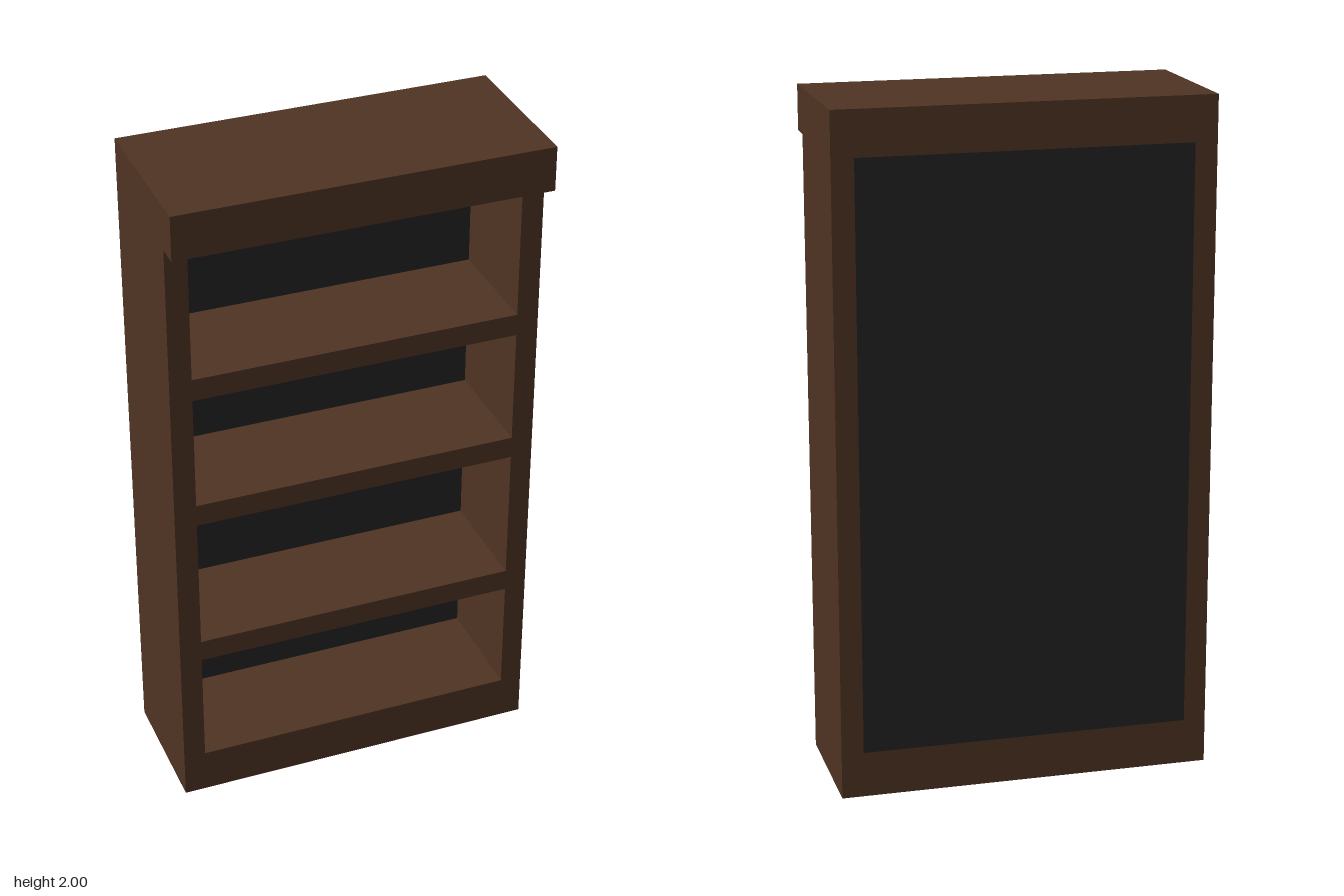
import * as THREE from 'three';

// Overall dimensions
const HALF_W = 0.55, INNER = 0.485, BACK = -0.24, FRONT = 0.172, LIP = 0.24;
const DECK = 0.135, CROWN = 1.867, LEDGE = 0.055, THIN = 0.006;

export function createModel() {
  const model = new THREE.Group();
  model.name = 'bookcase';
  const wood = new THREE.MeshStandardMaterial({ color: 0x4f3423 });
  wood.name = 'dark brown wood';
  const charcoal = new THREE.MeshStandardMaterial({ color: 0x232323 });
  charcoal.name = 'charcoal panel';

  // Box given by its minimum and maximum corners
  function box(name, material, x0, x1, y0, y1, z0, z1) {
    const mesh = new THREE.Mesh(new THREE.BoxGeometry(x1 - x0, y1 - y0, z1 - z0), material);
    mesh.position.set((x0 + x1) / 2, (y0 + y1) / 2, (z0 + z1) / 2);
    mesh.name = name;
    model.add(mesh);
  }

  // Overhanging top
  box('crown', wood, -HALF_W, HALF_W, CROWN, 2, BACK, LIP);

  // Side boards, each with a thin skirt down to the floor
  box('leftSide', wood, INNER, HALF_W, LEDGE, CROWN, BACK, FRONT);
  box('rightSide', wood, -HALF_W, -INNER, LEDGE, CROWN, BACK, FRONT);
  box('leftSkirt', wood, HALF_W - THIN, HALF_W, 0, LEDGE, BACK, FRONT);
  box('rightSkirt', wood, -HALF_W, -HALF_W + THIN, 0, LEDGE, BACK, FRONT);

  // Hollow plinth: front and back plates under a thin deck
  for (const [name, z] of [['frontPlinth', FRONT - THIN], ['backPlinth', BACK]]) {
    box(name, wood, -INNER, INNER, LEDGE, DECK - THIN, z, z + THIN);
    box(name + 'Skirt', wood, -HALF_W + THIN, HALF_W - THIN, 0, LEDGE, z, z + THIN);
  }
  box('bottomDeck', wood, -INNER, INNER, DECK - THIN, DECK, BACK, FRONT);

  // Back panel set flush between the boards
  box('backPanel', charcoal, -INNER, INNER, DECK, CROWN, BACK, -0.17);

  // Shelves
  for (const y of [0.488, 0.968, 1.384]) {
    box('shelf', wood, -INNER, INNER, y, y + 0.067, -0.17, FRONT);
  }
  return model;
}
